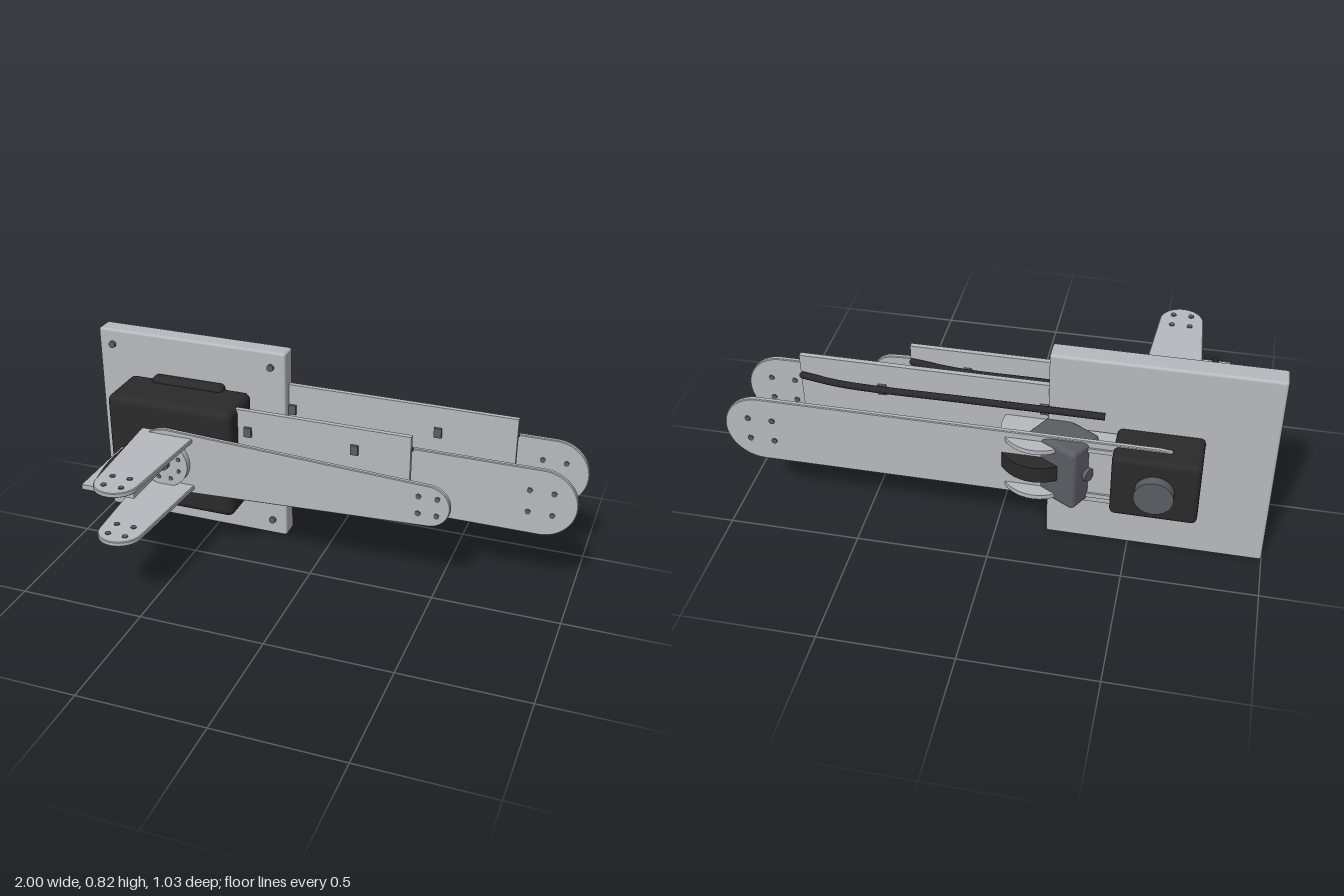
import * as THREE from 'three';
import { toCreasedNormals } from 'three/addons/utils/BufferGeometryUtils.js';
import { RoundedBoxGeometry } from 'three/addons/geometries/RoundedBoxGeometry.js';

const mat = (name, color) => {
  const m = new THREE.MeshStandardMaterial({ color });
  m.name = name;
  return m;
};

export function createModel() {
  const light = mat('lightGrey', 0xb8b9be);
  const black = mat('black', 0x2a2a2a);
  const dark = mat('darkGrey', 0x5c5c64);
  const model = new THREE.Group();
  model.name = 'linkageArm';

  function add(parent, name, geo, material, x = 0, y = 0, z = 0) {
    const mesh = new THREE.Mesh(geo, material);
    mesh.name = name;
    mesh.position.set(x, y, z);
    parent.add(mesh);
    return mesh;
  }
  const box = (w, h, d) => new THREE.BoxGeometry(w, h, d);
  const rbox = (w, h, d, r) => new RoundedBoxGeometry(w, h, d, 3, r);
  // disc or pin with its axis along z
  const disc = (r, t, n = 32) => new THREE.CylinderGeometry(r, r, t, n).rotateX(Math.PI / 2);

  // plate with round ends r1 and r2 at a distance of len along x
  function linkPlate(len, r1, r2, t) {
    const a = Math.acos((r1 - r2) / len);
    const s = new THREE.Shape();
    s.absarc(0, 0, r1, a, Math.PI * 2 - a, false);
    s.absarc(len, 0, r2, -a, a, false);
    const b = 0.003;
    const g = new THREE.ExtrudeGeometry(s, {
      depth: t - 2 * b, bevelEnabled: true, bevelThickness: b, bevelSize: b,
      bevelOffset: -b, bevelSegments: 1, curveSegments: 24,
    });
    g.translate(0, 0, b - t / 2);
    return toCreasedNormals(g, 0.5);
  }

  // arm along +x: two plates, a web panel on the centre line, clips and a cable
  function makeArm(name, { len, r1, r2, half, web, cableY, bolt }) {
    const arm = new THREE.Group();
    arm.name = name;
    const t = 0.019;
    for (const side of [-1, 1]) {
      add(arm, 'sidePlate', linkPlate(len, r1, r2, t), light, 0, 0, side * half);
      for (const dx of [-bolt, bolt])
        for (const dy of [-bolt, bolt])
          add(arm, 'tipBolt', disc(0.011, t + 0.008, 12), dark, len + dx, dy, side * half);
    }
    const start = 0.2, end = len - (r2 > 0.1 ? 0.13 : 0.1);
    add(arm, 'webPanel', box(end - start, web + 0.01, 0.02), light, (start + end) / 2, web / 2 - 0.005, 0);
    for (const f of [0.29, 0.7])
      add(arm, 'cableClip', box(0.03, 0.04, 0.042), dark, len * f, cableY - 0.025, 0);
    const bend = Math.max(len * 0.67, len - 0.3);
    const path = new THREE.CatmullRomCurve3([
      [start, -0.046], [(start + bend) / 2, -0.047], [bend, -0.045], [end - 0.01, -0.02],
    ].map(([x, z]) => new THREE.Vector3(x, cableY, z)));
    add(arm, 'cable', new THREE.TubeGeometry(path, 32, 0.013, 10), black);
    add(arm, 'cableEnd', new THREE.SphereGeometry(0.013, 10, 8), black, end - 0.01, cableY, -0.02);
    model.add(arm);
    return arm;
  }

  const px = -0.595, cy = 0.412;

  // wall plate and corner bolts
  add(model, 'basePlate', rbox(0.81, 0.82, 0.08, 0.01), light, px, 0.41, -0.277);
  for (const x of [-0.345, 0.345])
    for (const y of [-0.345, 0.345])
      add(model, 'baseBolt', disc(0.014, 0.02, 12), dark, px + x, 0.412 + y, -0.235);

  // main housing with flange behind it
  add(model, 'housing', rbox(0.53, 0.46, 0.23, 0.03), black, px, cy, -0.12);
  add(model, 'housingFlange', rbox(0.31, 0.5, 0.06, 0.02), black, px, cy, -0.207);

  // rear motor and cap
  add(model, 'rearMotor', rbox(0.31, 0.26, 0.18, 0.02), black, px, cy, -0.395);
  add(model, 'motorCap', disc(0.07, 0.04), dark, px, cy, -0.5);

  // three arms: short, long and forward
  const shortArm = makeArm('shortArm', {
    len: 1.065, r1: 0.135, r2: 0.086, half: 0.102, web: 0.22, cableY: 0.156, bolt: 0.036,
  });
  shortArm.position.set(px, cy, -0.092);
  const longArm = makeArm('longArm', {
    len: 1.455, r1: 0.138, r2: 0.138, half: 0.127, web: 0.264, cableY: 0.184, bolt: 0.046,
  });
  longArm.position.set(px, cy, -0.287);
  const forwardArm = makeArm('forwardArm', {
    len: 0.655, r1: 0.13, r2: 0.086, half: 0.103, web: 0.21, cableY: 0.15, bolt: 0.035,
  });
  forwardArm.position.set(px, cy, -0.23);
  forwardArm.setRotationFromMatrix(new THREE.Matrix4().makeBasis(
    new THREE.Vector3(0, 0, 1), new THREE.Vector3(-1, 0, 0), new THREE.Vector3(0, -1, 0)));

  // pivot horn on the front face
  const horn = new THREE.Group();
  horn.name = 'pivotHorn';
  horn.position.set(px, cy, 0.02);
  model.add(horn);
  add(horn, 'hornDisc', disc(0.1, 0.03, 40), light, 0, 0, 0.012);
  add(horn, 'hornPin', disc(0.024, 0.05, 20), dark, 0, 0, 0.02);
  for (let i = 0; i < 8; i++) {
    const a = (i + 0.5) * Math.PI / 4;
    add(horn, 'hornBolt', disc(0.009, 0.01, 10), dark, 0.068 * Math.cos(a), 0.068 * Math.sin(a), 0.026);
  }

  // wheel between two round plates
  const wheel = new THREE.Group();
  wheel.name = 'wheel';
  wheel.position.set(-0.165, cy, -0.34);
  model.add(wheel);
  add(wheel, 'tyre', new THREE.CylinderGeometry(0.148, 0.148, 0.065, 40), black, 0, 0.008, 0);
  add(wheel, 'wheelCore', new THREE.CylinderGeometry(0.07, 0.07, 0.2, 24), dark);
  for (const s of [-1, 1])
    add(wheel, 'wheelPlate', new THREE.CylinderGeometry(0.138, 0.138, 0.018, 40), light, 0, s * 0.103, 0);
  add(wheel, 'wheelStop', box(0.17, 0.065, 0.07), black, 0.2, 0.008, 0);

  // tilted wheel motor with its axle, and the fork that carries it
  const tilted = new THREE.Group();
  tilted.name = 'wheelMotor';
  tilted.position.set(-0.258, cy, -0.38);
  tilted.rotation.y = -Math.PI / 6;
  model.add(tilted);
  add(tilted, 'wheelMotorBody', rbox(0.21, 0.26, 0.15, 0.02), dark);
  add(tilted, 'wheelMotorAxle', new THREE.CylinderGeometry(0.025, 0.025, 0.02, 20).rotateZ(Math.PI / 2), dark, -0.11, 0, 0);
  for (const s of [-1, 1])
    add(model, 'forkPlate', box(0.16, 0.018, 0.1), light, -0.37, cy + s * 0.103, -0.38);

  return model;
}
